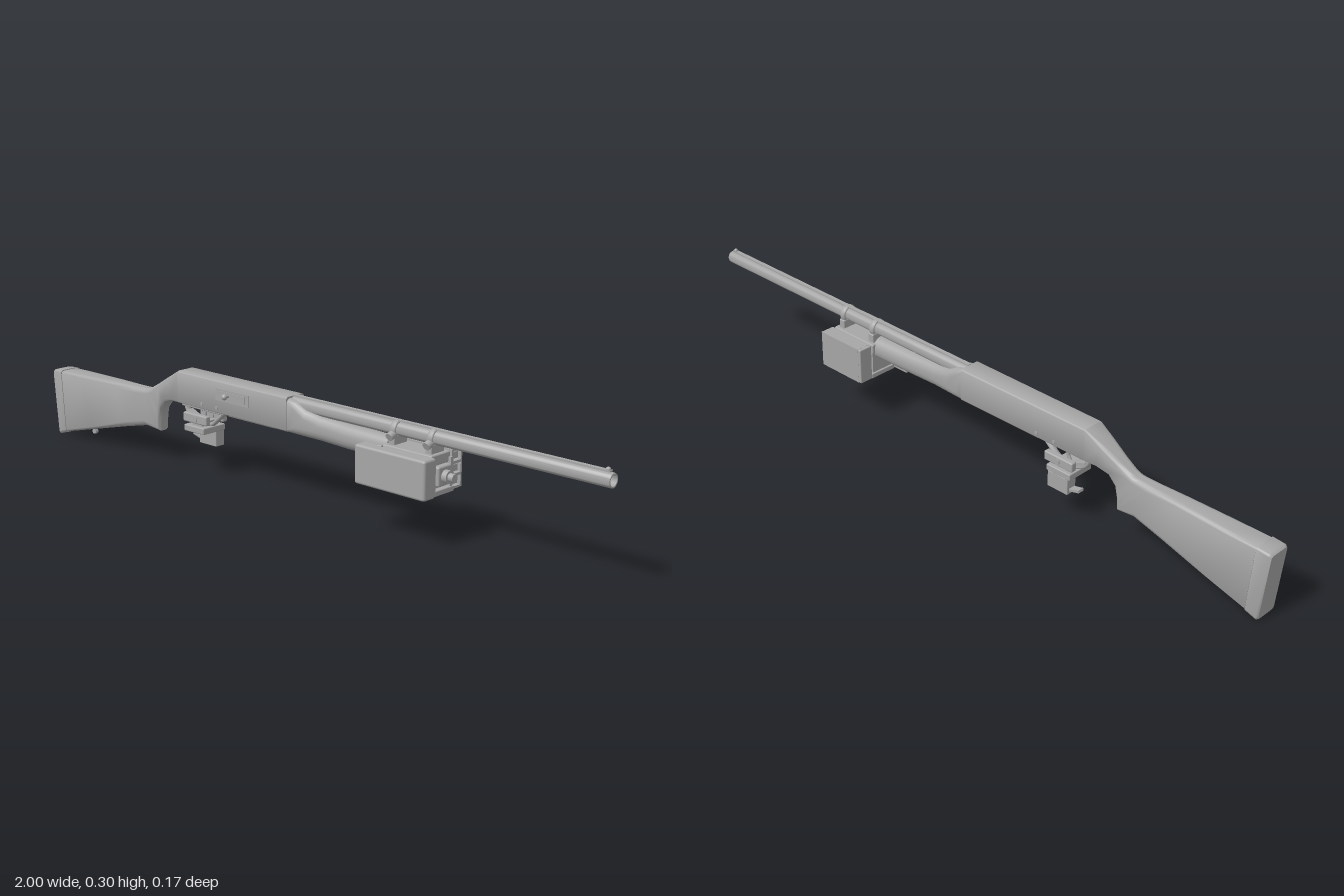
import * as THREE from 'three';
import { toCreasedNormals } from 'three/addons/utils/BufferGeometryUtils.js';
import { RoundedBoxGeometry } from 'three/addons/geometries/RoundedBoxGeometry.js';

export function createModel() {
  const model = new THREE.Group();
  const grey = new THREE.MeshStandardMaterial({ color: 0xa6a6a6 });
  grey.name = 'plain grey';

  const add = (name, geo, x = 0, y = 0, z = 0) => {
    const m = new THREE.Mesh(geo, grey);
    m.name = name;
    m.position.set(x, y, z);
    model.add(m);
    return m;
  };
  // box given by its limits on each axis
  const box = (name, x0, x1, y0, y1, z0, z1, r = 0) => {
    const s = [x1 - x0, y1 - y0, z1 - z0];
    const g = r ? new RoundedBoxGeometry(...s, 2, r) : new THREE.BoxGeometry(...s);
    return add(name, g, (x0 + x1) / 2, (y0 + y1) / 2, (z0 + z1) / 2);
  };
  // cylinder along x, or along z
  const rodX = (name, x0, x1, y, z, r, n = 24) =>
    add(name, new THREE.CylinderGeometry(r, r, x1 - x0, n).rotateZ(-Math.PI / 2), (x0 + x1) / 2, y, z);
  const rodZ = (name, x, y, z0, z1, r, n = 16) =>
    add(name, new THREE.CylinderGeometry(r, r, z1 - z0, n).rotateX(Math.PI / 2), x, y, (z0 + z1) / 2);

  // skin over rounded sections: [topX, topY, bottomX, bottomY, halfWidth, cornerRadius]
  const loft = (name, sections) => {
    const rings = sections.map(([tx, ty, bx, by, w, r]) => {
      const h = Math.hypot(tx - bx, ty - by) / 2;
      const ring = [];
      for (let c = 0; c < 4; c++) for (let j = 0; j <= 4; j++) {
        const a = (c + j / 4) * Math.PI / 2;
        const z = (c === 0 || c === 3 ? 1 : -1) * (w - r) + r * Math.cos(a);
        const s = ((c < 2 ? 1 : -1) * (h - r) + r * Math.sin(a)) / (2 * h) + 0.5;
        ring.push([bx + (tx - bx) * s, by + (ty - by) * s, z]);
      }
      return ring;
    });
    const n = rings[0].length, pos = [];
    const tri = (...p) => p.forEach(v => pos.push(...v));
    for (let i = 0; i < rings.length - 1; i++) for (let k = 0; k < n; k++) {
      const l = (k + 1) % n, A = rings[i], B = rings[i + 1];
      tri(A[k], B[k], B[l]);
      tri(A[k], B[l], A[l]);
    }
    const F = rings[0], E = rings[rings.length - 1];
    for (let k = 1; k < n - 1; k++) {
      tri(F[0], F[k], F[k + 1]);
      tri(E[0], E[k + 1], E[k]);
    }
    const g = new THREE.BufferGeometry();
    g.setAttribute('position', new THREE.Float32BufferAttribute(pos, 3));
    return add(name, toCreasedNormals(g, 0.7));
  };

  // Butt pad and stock with its grip
  loft('buttPad', [
    [-1.0, 0.198, -0.982, 0.008, 0.031, 0.008],
    [-0.994, 0.203, -0.976, 0.003, 0.035, 0.01],
    [-0.958, 0.206, -0.944, 0.013, 0.035, 0.01]]);
  loft('stock', [
    [-0.957, 0.204, -0.943, 0.015, 0.034, 0.011],
    [-0.86, 0.206, -0.82, 0.045, 0.033, 0.014],
    [-0.72, 0.209, -0.68, 0.079, 0.028, 0.016],
    [-0.63, 0.21, -0.585, 0.1, 0.024, 0.017],
    [-0.595, 0.211, -0.53, 0.094, 0.022, 0.016],
    [-0.582, 0.212, -0.527, 0.13, 0.022, 0.016],
    [-0.565, 0.218, -0.52, 0.16, 0.022, 0.016],
    [-0.53, 0.237, -0.5, 0.186, 0.025, 0.016],
    [-0.48, 0.265, -0.465, 0.197, 0.03, 0.013],
    [-0.43, 0.293, -0.43, 0.199, 0.033, 0.009]]);
  rodZ('slingStud', -0.845, 0.03, -0.005, 0.005, 0.008);
  box('slingStudBase', -0.851, -0.839, 0.027, 0.05, -0.004, 0.004);

  // Receiver, side port and charging handle
  loft('receiver', [
    [-0.43, 0.293, -0.43, 0.199, 0.033, 0.009],
    [0, 0.293, 0, 0.197, 0.034, 0.009]]);
  box('portPlate', -0.27, -0.14, 0.238, 0.272, 0.031, 0.0355);
  box('bolt', -0.255, -0.155, 0.244, 0.266, 0.033, 0.037);
  rodZ('chargingHandle', -0.22, 0.257, 0.033, 0.05, 0.0045);
  add('handleKnob', new THREE.SphereGeometry(0.0085, 16, 12), -0.22, 0.257, 0.05);
  box('loadingGate', -0.24, -0.06, 0.192, 0.199, -0.018, 0.018, 0.003);
  for (const x of [-0.33, -0.27]) rodZ('receiverPin', x, 0.215, -0.035, 0.035, 0.005);

  // Fore-end
  loft('foreEnd', [
    [0, 0.288, 0, 0.196, 0.033, 0.014],
    [0.025, 0.284, 0.025, 0.194, 0.034, 0.02],
    [0.06, 0.267, 0.06, 0.192, 0.033, 0.024],
    [0.11, 0.258, 0.11, 0.19, 0.03, 0.026],
    [0.2, 0.252, 0.2, 0.186, 0.029, 0.027],
    [0.345, 0.248, 0.345, 0.184, 0.029, 0.027]]);

  // Barrel: a hollow tube with rib, posts and bead
  const barrel = [[0.0135, 0], [0.0135, 0.12], [0.0001, 0.12], [0.0135, 0.12]];
  add('barrel', toCreasedNormals(new THREE.LatheGeometry([
    [0.02, -0.02], [0.0185, 0.2], [0.0185, 0.994], [0.0175, 0.998], [0.014, 0.998], [0.014, 0.9], [0, 0.9],
  ].map(p => new THREE.Vector2(...p)), 28), 0.6).rotateZ(-Math.PI / 2), 0, 0.272, 0);
  box('rib', 0, 0.99, 0.291, 0.295, -0.006, 0.006);
  for (let i = 0; i < 14; i++) box('ribPost', i * 0.074 + 0.005, i * 0.074 + 0.025, 0.285, 0.292, -0.004, 0.004);
  add('frontBead', new THREE.SphereGeometry(0.006, 12, 8), 0.982, 0.296, 0);

  // Trigger guard and trigger
  const guard = new THREE.CatmullRomCurve3([
    [-0.43, 0.197], [-0.415, 0.168], [-0.38, 0.15], [-0.325, 0.15], [-0.295, 0.172], [-0.265, 0.198],
  ].map(([x, y]) => new THREE.Vector3(x, y, 0)));
  add('triggerGuard', new THREE.TubeGeometry(guard, 30, 0.0065, 8).scale(1, 1, 1.5));
  box('guardPlate', -0.43, -0.26, 0.19, 0.2, -0.018, 0.018, 0.003);
  add('trigger', new THREE.TubeGeometry(new THREE.CatmullRomCurve3([
    new THREE.Vector3(-0.36, 0.195, 0), new THREE.Vector3(-0.352, 0.175, 0), new THREE.Vector3(-0.36, 0.155, 0),
  ]), 10, 0.005, 8));

  // Trigger clamp: two side pads, a cross bar and a hanging block
  for (const s of [-1, 1]) {
    const z = s * 0.032;
    box('clampPad', -0.4, -0.305, 0.155, 0.182, z - 0.009, z + 0.009, 0.004);
    rodZ('clampScrew', -0.35, 0.168, z - 0.012, z + 0.012, 0.009);
  }
  box('clampBar', -0.395, -0.315, 0.128, 0.147, -0.042, 0.042, 0.003);
  box('clampPost', -0.375, -0.335, 0.14, 0.16, -0.03, 0.03, 0.003);
  box('clampBlock', -0.388, -0.32, 0.083, 0.13, -0.042, -0.01, 0.002);
  const lever = box('clampLever', -0.42, -0.38, 0.096, 0.103, -0.035, -0.015);
  lever.rotation.z = -0.25;
  const arm = box('clampArm', -0.42, -0.36, 0.158, 0.168, -0.012, 0.012);
  arm.rotation.z = -0.4;

  // Clamps that hold the accessory on the barrel
  for (const x of [0.36, 0.48]) {
    add('barrelRing', new THREE.TorusGeometry(0.021, 0.005, 8, 24).rotateY(Math.PI / 2).scale(2, 1, 1), x, 0.27, 0);
    box('clampLug', x - 0.01, x + 0.01, 0.228, 0.258, -0.026, 0.026, 0.003);
    const screw = rodZ('thumbScrew', x, 0.258, 0.015, 0.035, 0.011, 12);
    screw.rotation.x = 0.4;
  }

  // Central housing with front frame and lamp
  box('housingTop', 0.34, 0.5, 0.205, 0.234, -0.037, 0.037, 0.004);
  box('housingCore', 0.345, 0.495, 0.14, 0.21, -0.034, 0.034);
  box('housingBase', 0.34, 0.51, 0.13, 0.145, -0.043, 0.043, 0.003);
  box('lampFrame', 0.49, 0.515, 0.154, 0.206, -0.026, 0.026, 0.005);
  rodX('lampBody', 0.5, 0.53, 0.179, 0, 0.017);
  rodX('lampTip', 0.52, 0.545, 0.179, 0, 0.011);
  for (const s of [-1, 1]) box('frontPost', 0.49, 0.508, 0.14, 0.22, s * 0.033 - 0.004, s * 0.033 + 0.004);

  // Left case
  box('leftCase', 0.29, 0.52, 0.131, 0.235, 0.041, 0.087, 0.007);
  box('leftCaseBracket', 0.35, 0.49, 0.15, 0.22, 0.03, 0.045);
  rodX('leftCaseBolt', 0.35, 0.36, 0.235, 0.06, 0.004);

  // Right case: shell open at the front with three cells inside
  const shell = new THREE.Shape([[-0.042, 0.131], [-0.084, 0.131], [-0.084, 0.235], [-0.042, 0.235]]
    .map(p => new THREE.Vector2(...p)));
  for (let i = 0; i < 3; i++) {
    const y = 0.137 + i * 0.033;
    shell.holes.push(new THREE.Path([[-0.079, y], [-0.049, y], [-0.049, y + 0.026], [-0.079, y + 0.026]]
      .map(p => new THREE.Vector2(...p))));
    box('cell', 0.35, 0.494, y + 0.003, y + 0.023, -0.076, -0.052, 0.003);
  }
  // turned so that the shape's first axis runs along z
  add('rightCase', new THREE.ExtrudeGeometry(shell, { depth: 0.15, bevelEnabled: false })
    .scale(-1, 1, 1).rotateY(Math.PI / 2).translate(0, 0, 0), 0.35, 0, 0).geometry = rightShell(shell);
  box('rightCaseBack', 0.34, 0.352, 0.131, 0.235, -0.084, -0.042, 0.003);
  box('rightCaseBracket', 0.36, 0.48, 0.15, 0.22, -0.044, -0.03);

  return model;
}

// Extrudes a (z, y) shape along +x
function rightShell(shape) {
  const flip = pts => pts.map(p => new THREE.Vector2(-p.x, p.y));
  const s = new THREE.Shape(flip(shape.getPoints()));
  s.holes = shape.holes.map(h => new THREE.Path(flip(h.getPoints())));
  return new THREE.ExtrudeGeometry(s, { depth: 0.15, bevelEnabled: false }).rotateY(Math.PI / 2);
}
